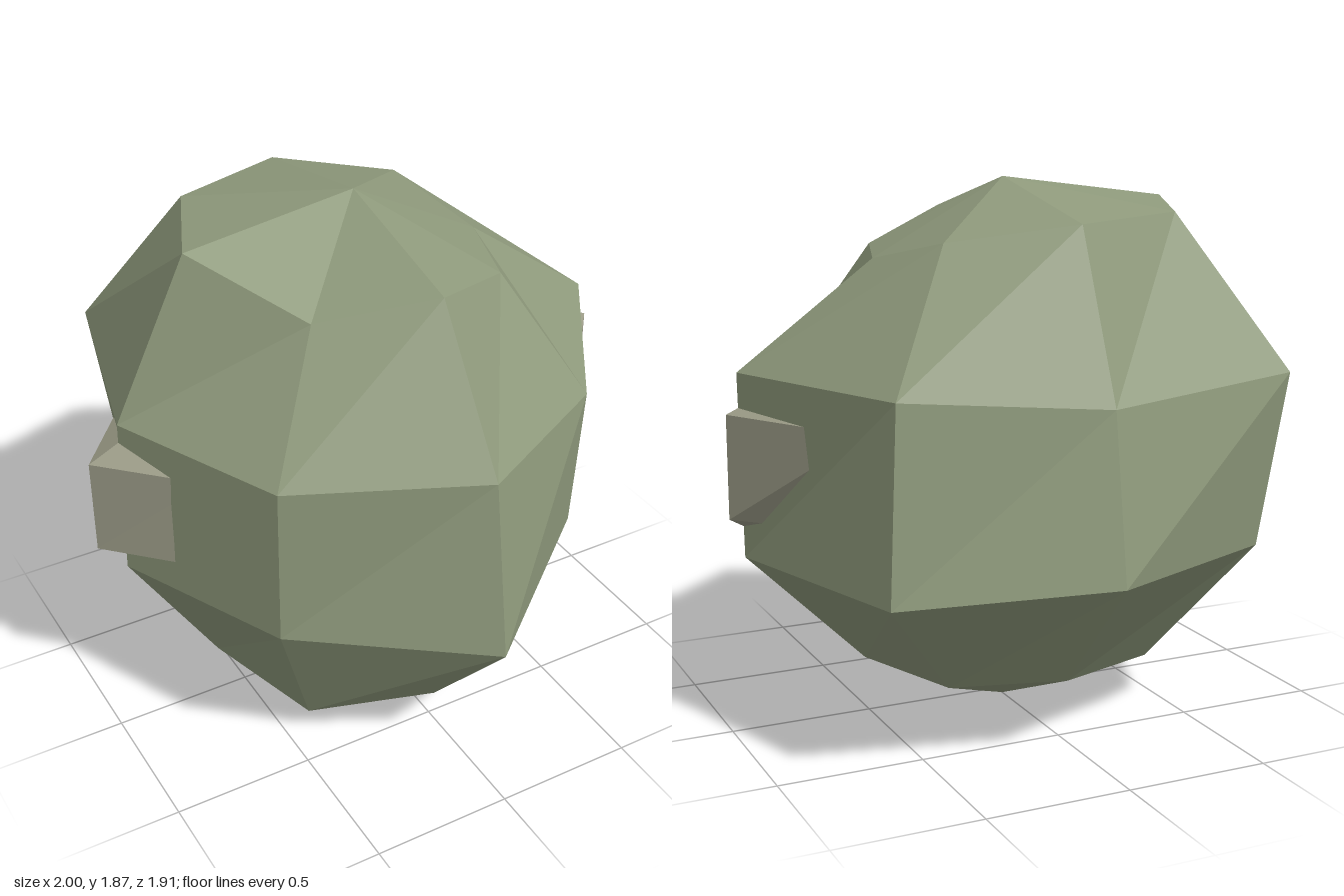
import * as THREE from 'three';

// Closed faceted solid: rings run from bottom to top, each ring is eight
// [x, y, z] points going from the front towards +x; poles close the ends.
function facetedSolid(name, color, bottom, rings, top) {
  const positions = [];
  const add = (...points) => points.forEach((p) => positions.push(...p));
  const n = rings[0].length;
  const last = rings.length - 1;
  for (let i = 0; i < n; i++) {
    const j = (i + 1) % n;
    add(rings[0][j], rings[0][i], bottom);
    for (let k = 0; k < last; k++) {
      const lower = rings[k];
      const upper = rings[k + 1];
      add(lower[i], lower[j], upper[j]);
      add(lower[i], upper[j], upper[i]);
    }
    add(rings[last][i], rings[last][j], top);
  }
  const geometry = new THREE.BufferGeometry();
  geometry.setAttribute('position', new THREE.Float32BufferAttribute(positions, 3));
  geometry.computeVertexNormals();
  const mesh = new THREE.Mesh(geometry, new THREE.MeshStandardMaterial({ color, flatShading: true }));
  mesh.name = name;
  return mesh;
}

export function createModel() {
  const group = new THREE.Group();
  group.name = 'boulder';

  // Main rock: four uneven rings between two poles
  const base = [
    [0, 0.12, 0.535], [0.42, 0.135, 0.38], [0.53, 0.215, -0.05], [0.38, 0.21, -0.44],
    [0, 0.22, -0.57], [-0.375, 0.21, -0.43], [-0.58, 0.14, -0.05], [-0.43, 0.105, 0.38],
  ];
  const lowerBelt = [
    [0, 0.61, 0.955], [0.56, 0.68, 0.51], [0.95, 0.63, -0.05], [0.71, 0.615, -0.77],
    [0, 0.645, -0.96], [-0.645, 0.65, -0.7], [-0.9, 0.65, -0.05], [-0.62, 0.655, 0.56],
  ];
  const upperBelt = [
    [0, 1.24, 0.86], [0.58, 1.21, 0.53], [0.96, 1.257, -0.05], [0.67, 1.25, -0.73],
    [0, 1.2, -0.875], [-0.71, 1.25, -0.77], [-0.89, 1.23, -0.05], [-0.61, 1.22, 0.55],
  ];
  const crown = [
    [0, 1.735, 0.52], [0.36, 1.625, 0.3], [0.48, 1.61, -0.05], [0.39, 1.69, -0.445],
    [0, 1.75, -0.64], [-0.43, 1.765, -0.48], [-0.62, 1.79, -0.05], [-0.35, 1.63, 0.3],
  ];
  group.add(facetedSolid('mainRock', 0x8f9a7c,
    [0, 0, -0.05], [base, lowerBelt, upperBelt, crown], [0, 1.87, -0.05]));

  // Flat inner rock whose pointed ends break through both sides
  const innerLow = [
    [0, 0.77, 0.45], [0.71, 0.775, 0.31], [1, 0.765, -0.05], [0.71, 0.765, -0.35],
    [0, 0.77, -0.5], [-0.71, 0.765, -0.4], [-1, 0.765, -0.05], [-0.71, 0.77, 0.25],
  ];
  const innerHigh = [
    [0, 1.11, 0.45], [0.71, 1.11, 0.3], [1, 1.12, -0.05], [0.71, 1.12, -0.56],
    [0, 1.11, -0.55], [-0.71, 1.11, -0.41], [-1, 1.11, -0.05], [-0.71, 1.11, 0.24],
  ];
  group.add(facetedSolid('innerRock', 0x9a9a86,
    [0, 0.2, -0.05], [innerLow, innerHigh], [0, 1.58, -0.05]));

  return group;
}
